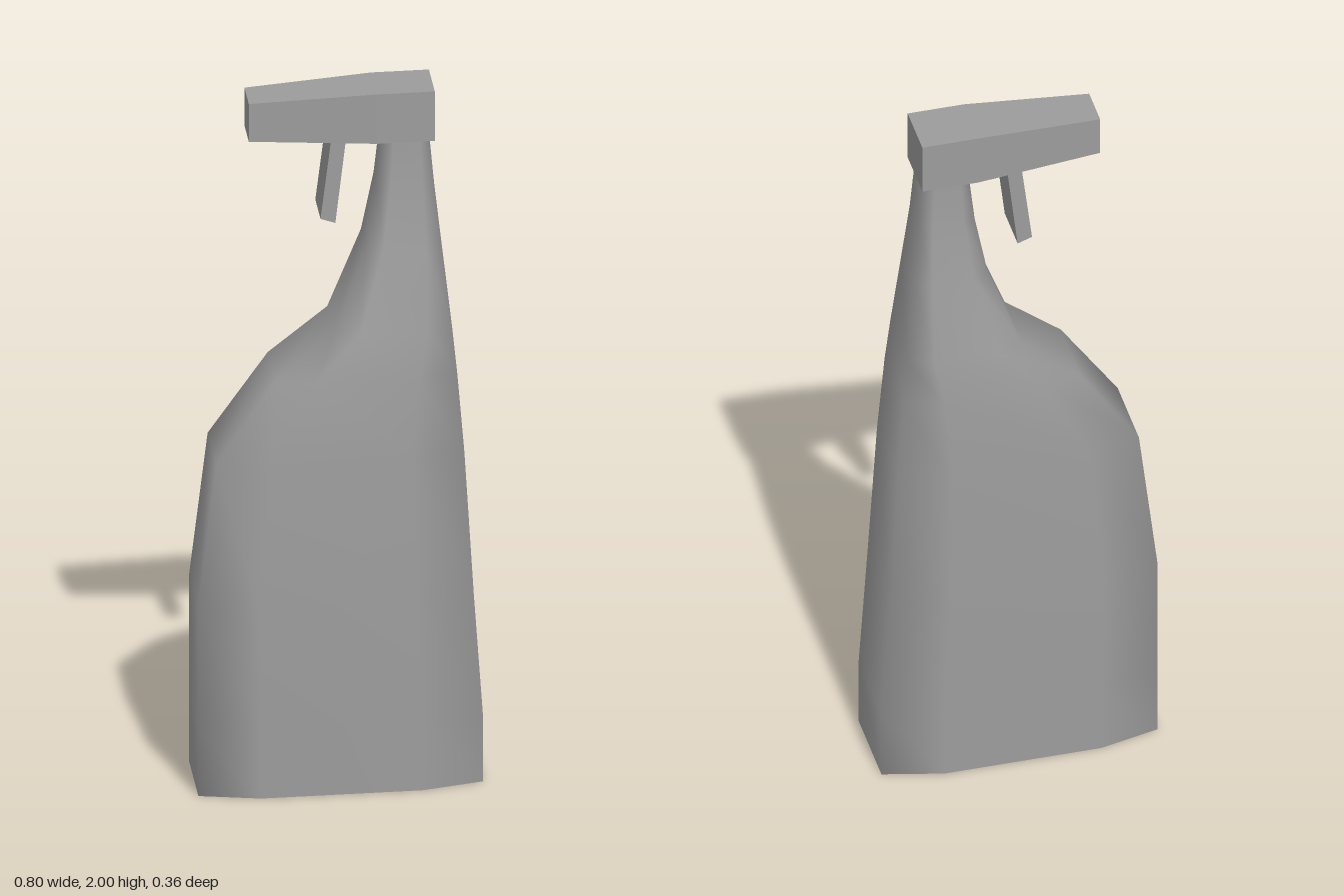
import * as THREE from 'three';

const SHEAR = -0.055; // the whole body leans slightly in x along its depth
const material = () => new THREE.MeshStandardMaterial({ color: 0x9c9c9c });

// Skin a list of closed rings (arrays of [x, y, z]) that run counter-clockwise
// about the direction from first to last; the ends are capped with hard edges
function loft(rings, flat) {
  const n = rings[0].length, pos = [], idx = [];
  const add = ([x, y, z]) => pos.push(x + SHEAR * z, y, z) / 3 - 1;
  rings.forEach((ring) => ring.forEach(add));
  for (let r = 0; r < rings.length - 1; r++) {
    for (let i = 0; i < n; i++) {
      const a = r * n + i, b = r * n + (i + 1) % n;
      idx.push(a, b, a + n, b, b + n, a + n);
    }
  }
  const cap = (ring) => {
    const ids = ring.map(add);
    for (let i = 1; i < n - 1; i++) idx.push(ids[0], ids[i], ids[i + 1]);
  };
  cap([...rings[0]].reverse());
  cap(rings[rings.length - 1]);
  let geo = new THREE.BufferGeometry();
  geo.setAttribute('position', new THREE.Float32BufferAttribute(pos, 3));
  geo.setIndex(idx);
  if (flat) geo = geo.toNonIndexed();
  geo.computeVertexNormals();
  return geo;
}

function part(name, geometry) {
  const mesh = new THREE.Mesh(geometry, material());
  mesh.name = name;
  return mesh;
}

// Eight-sided bottle section: flat ends, chamfers and long flat sides
function bottleRing([y, x0, x1, depth]) {
  const c = (x0 + x1) / 2, w = (x1 - x0) / 2, s = w * 0.57, e = depth * 0.75;
  return [
    [c + w, y, -e], [c + s, y, -depth], [c - s, y, -depth], [c - w, y, -e],
    [c - w, y, e], [c - s, y, depth], [c + s, y, depth], [c + w, y, e],
  ];
}

// Rectangular section across the head at one x
const headRing = ([x, y0, y1, d]) => [[x, y0, -d], [x, y1, -d], [x, y1, d], [x, y0, d]];

// Rectangular section across the trigger at one height; y drops towards +x
const triggerRing = ([x0, x1, y0, y1, d]) => [[x1, y1, -d], [x0, y0, -d], [x0, y0, d], [x1, y1, d]];

export function createModel() {
  const group = new THREE.Group();
  group.name = 'sprayBottle';

  // Bottle: height, left x, right x, half depth
  const bottle = [
    [0, -0.393, 0.393, 0.18],
    [0.2, -0.393, 0.393, 0.18],
    [0.55, -0.393, 0.368, 0.18],
    [0.96, -0.343, 0.343, 0.168],
    [1.19, -0.178, 0.324, 0.154],
    [1.32, -0.015, 0.311, 0.136],
    [1.55, 0.076, 0.285, 0.102],
    [1.72, 0.109, 0.266, 0.077],
    [1.87, 0.126, 0.252, 0.071],
  ];
  group.add(part('bottle', loft(bottle.map(bottleRing), false)));

  // Spray head, tapering towards the nozzle
  const head = [
    [-0.247, 1.873, 1.983, 0.065],
    [0.105, 1.856, 2, 0.087],
    [0.265, 1.856, 2, 0.087],
  ];
  group.add(part('sprayHead', loft(head.map(headRing), true)));

  // Trigger, slanting down from the head
  const trigger = [
    [-0.05, -0.009, 1.642, 1.628, 0.077],
    [-0.02, 0.021, 1.875, 1.875, 0.077],
  ];
  group.add(part('trigger', loft(trigger.map(triggerRing), true)));

  return group;
}
